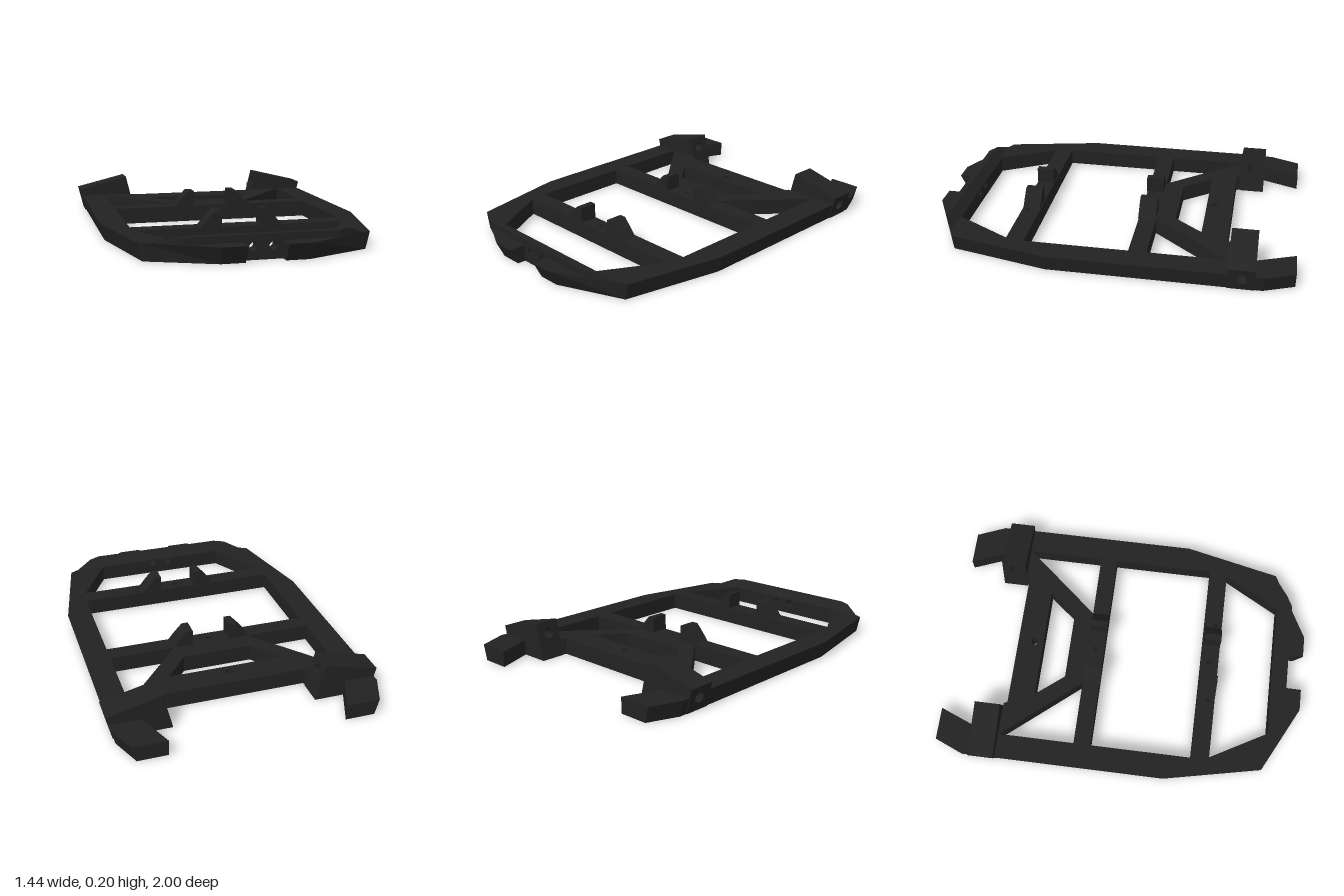
import * as THREE from 'three';

const H = 0.09; // frame height
const material = new THREE.MeshStandardMaterial({ color: 0x222222, flatShading: true });

function shapeOf(points, holes = []) {
  const shape = new THREE.Shape(points.map(([a, b]) => new THREE.Vector2(a, b)));
  for (const pts of holes) {
    shape.holes.push(new THREE.Path(pts.map(([a, b]) => new THREE.Vector2(a, b))));
  }
  return shape;
}

function circle(a, b, r, n = 20) {
  return Array.from({ length: n }, (_, i) => {
    const t = (i / n) * Math.PI * 2;
    return [a + r * Math.cos(t), b + r * Math.sin(t)];
  });
}

const mirrorX = (pts) => pts.map(([x, z]) => [-x, z]).reverse();
const extrude = (shape, depth) => new THREE.ExtrudeGeometry(shape, { depth, bevelEnabled: false, steps: 1 });

// Move every vertex by a rule, then refresh the normals
function warp(geo, rule) {
  const p = geo.attributes.position;
  const v = new THREE.Vector3();
  for (let i = 0; i < p.count; i++) {
    rule(v.fromBufferAttribute(p, i));
    p.setXYZ(i, v.x, v.y, v.z);
  }
  geo.computeVertexNormals();
  return geo;
}

// Plan outline (x, z) raised to a height; outer walls lean in toward the ground
function planSolid(points, holes, height) {
  const geo = extrude(shapeOf(points, holes), height);
  geo.rotateX(Math.PI / 2).translate(0, height, 0);
  return warp(geo, (v) => {
    if (v.y > 0.01) return;
    if (Math.abs(v.x) > 0.58) v.x -= Math.sign(v.x) * 0.022;
    if (v.z > 0.95) v.z -= 0.045;
  });
}

export function createModel() {
  const model = new THREE.Group();
  const add = (name, geo) => {
    const mesh = new THREE.Mesh(geo, material);
    mesh.name = name;
    model.add(mesh);
    return mesh;
  };

  // Main ladder frame: side rails, cross bars, V brace and front horns in one plan
  const half = [
    [0.38, -0.64], [0.39, -0.66], [0.706, -0.66], [0.706, 0.28], [0.59, 0.81],
    [0.22, 1], [0.1, 1], [0.1, 0.83], [0.38, 0.83], [0.555, 0.52],
  ];
  const triangle = [[0.57, -0.655], [0.57, -0.235], [0.215, -0.235]];
  add('mainFrame', planSolid([...half, ...mirrorX(half)], [
    [[-0.57, -0.14], [0.57, -0.14], [0.57, 0.42], [-0.57, 0.42]],
    [[-0.315, -0.495], [0.315, -0.495], [0.19, -0.34], [-0.19, -0.34]],
    triangle, mirrorX(triangle),
    circle(0, -0.545, 0.02), circle(0, -0.19, 0.014), circle(0, 0.47, 0.016),
    circle(0.23, 0.485, 0.013), circle(-0.23, 0.485, 0.013),
  ], H));

  // Middle of the front bar with two bolt bores
  const web = extrude(shapeOf(
    [[-0.1, 0], [0.1, 0], [0.1, H], [-0.1, H]],
    [circle(0.05, 0.065, 0.021), circle(-0.05, 0.065, 0.021)],
  ), 0.08);
  add('frontBarCentre', web.translate(0, 0, 0.83));

  // Raised lip on the front bar, its ends cut along the frame edge
  const lip = extrude(shapeOf([[0.912, H], [0.912, 0.127], [0.88, 0.127], [0.835, H]]), 2);
  lip.translate(0, 0, -1).rotateY(-Math.PI / 2);
  add('frontLip', warp(lip, (v) => {
    v.x = Math.sign(v.x) * (0.59 - (v.z - 0.81) * 1.95);
  }));

  for (const s of [1, -1]) {
    const side = s > 0 ? 'left' : 'right';

    // Mounting lugs on the two cross bars
    for (const [place, z, depth] of [['Front', 0.425, 0.095], ['Rear', -0.232, 0.097]]) {
      const lug = extrude(shapeOf([
        [s * 0.105, H - 0.005], [s * 0.22, H - 0.005], [s * 0.185, 0.128],
        [s * 0.142, 0.175], [s * 0.105, 0.175],
      ]), depth);
      add(`${side}${place}Lug`, lug.translate(0, 0, z));
    }

    // Tilted rear mount block with a cross bore, trimmed flat at the ground
    const block = extrude(shapeOf(
      [[-0.07, -0.21], [0.07, -0.21], [0.07, 0], [-0.07, 0]],
      [circle(0, -0.065, 0.03, 24)],
    ), 0.298);
    add(`${side}MountBlock`, warp(block, (v) => {
      const { x: across, y: up, z: inward } = v;
      let x = 0.72 - 0.972 * inward + 0.235 * up;
      let y = 0.13 + 0.235 * inward + 0.972 * up;
      if (y < 0) {
        x -= (y * 0.235) / 0.972;
        y = 0;
      }
      v.set(s * x, y, -0.73 + s * across);
    }));

    // Rear rail end behind the block
    const tail = [[0.54, -0.8], [0.46, -1], [0.64, -1], [0.706, -0.84], [0.706, -0.8]];
    add(`${side}RailEnd`, planSolid(s > 0 ? tail : mirrorX(tail), [], 0.085));
  }

  return model;
}
